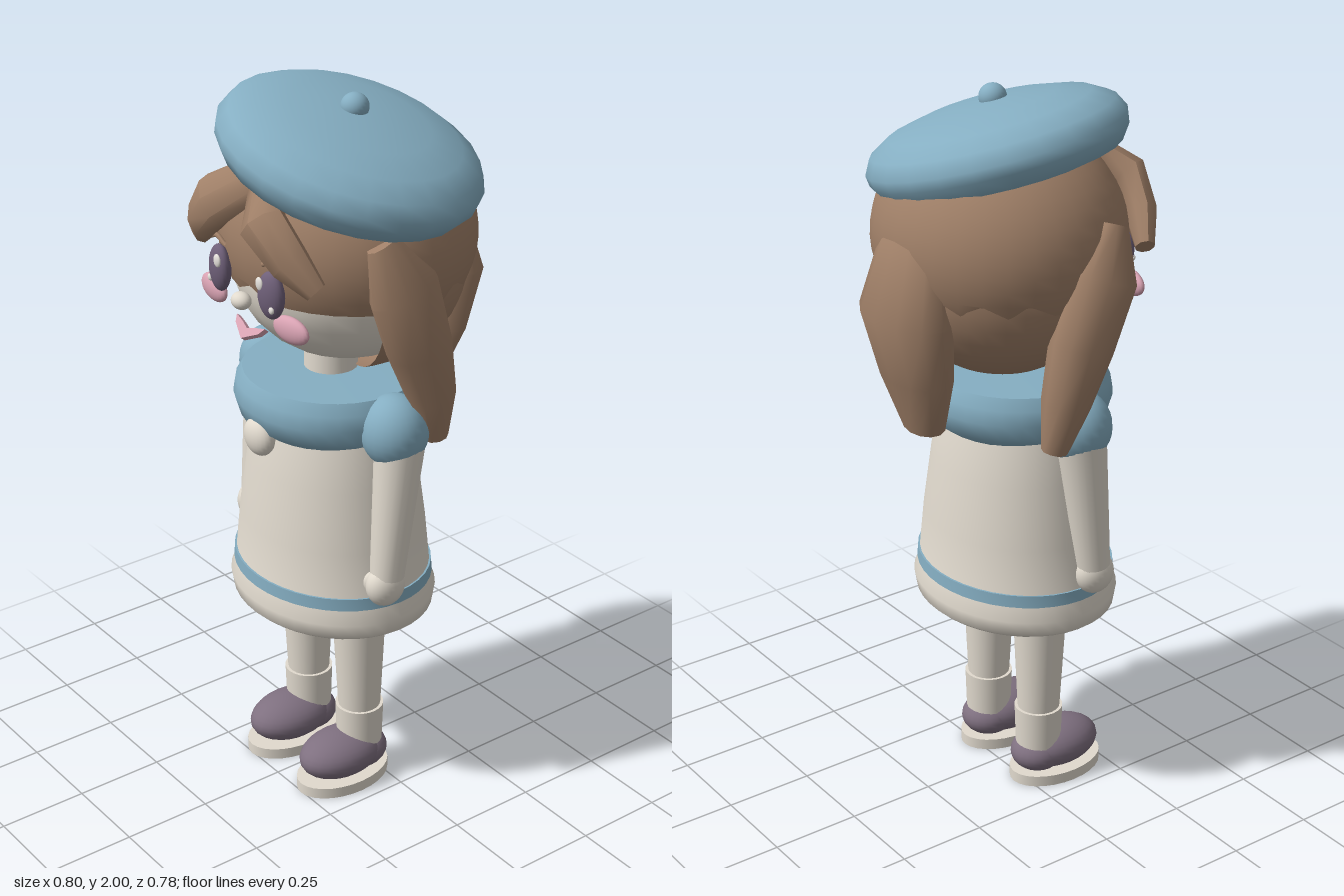
import * as THREE from 'three';
import { toCreasedNormals } from 'three/addons/utils/BufferGeometryUtils.js';

const mat = (name, color, side = THREE.FrontSide) => {
  const m = new THREE.MeshStandardMaterial({ color, side });
  m.name = name;
  return m;
};

export function createModel() {
  const model = new THREE.Group();
  model.name = 'doll';
  const hair = mat('brown hair', 0xa08068, THREE.DoubleSide);
  const blue = mat('soft blue', 0x85aec2);
  const cream = mat('cream', 0xe1dace);
  const plum = mat('plum', 0x7f7080);
  const eyeDark = mat('eye purple', 0x6f6079);
  const pink = mat('pink', 0xd9a3b3);
  const white = mat('highlight white', 0xf0ece6);

  const add = (name, geo, material, pos = [0, 0, 0], scale = [1, 1, 1], rot = [0, 0, 0]) => {
    const m = new THREE.Mesh(geo, material);
    m.name = name;
    m.position.set(...pos);
    m.scale.set(...scale);
    m.rotation.set(...rot);
    model.add(m);
    return m;
  };
  const ball = new THREE.SphereGeometry(1, 24, 16);
  const lathe = (pts, seg) => toCreasedNormals(
    new THREE.LatheGeometry(pts.map(p => new THREE.Vector2(...p)), seg), 0.8);

  // Tapered tube between two points
  const limb = (name, a, b, ra, rb, material) => {
    const A = new THREE.Vector3(...a), B = new THREE.Vector3(...b);
    const d = B.clone().sub(A);
    const m = add(name, new THREE.CylinderGeometry(rb, ra, d.length(), 20), material);
    m.position.copy(A).addScaledVector(d, 0.5);
    m.quaternion.setFromUnitVectors(new THREE.Vector3(0, 1, 0), d.normalize());
  };

  // Hair lock: elliptical rings [x, y, z, half width, half depth] along a path
  const lock = (name, rings, out, sides = 10) => {
    const P = rings.map(r => new THREE.Vector3(r[0], r[1], r[2]));
    const pos = [], idx = [], n = rings.length;
    rings.forEach((r, i) => {
      const T = P[Math.min(i + 1, n - 1)].clone().sub(P[Math.max(i - 1, 0)]).normalize();
      const S = T.clone().cross(new THREE.Vector3(...out)).normalize();
      const O = S.clone().cross(T);
      for (let j = 0; j < sides; j++) {
        const t = j / sides * Math.PI * 2;
        const v = P[i].clone().addScaledVector(S, r[3] * Math.cos(t)).addScaledVector(O, r[4] * Math.sin(t));
        pos.push(v.x, v.y, v.z);
      }
    });
    P.forEach(p => pos.push(p.x, p.y, p.z));
    for (let j = 0; j < sides; j++) {
      const k = (j + 1) % sides;
      for (let i = 0; i < n - 1; i++) {
        const a = i * sides, b = a + sides;
        idx.push(a + j, b + j, a + k, b + j, b + k, a + k);
      }
      const last = (n - 1) * sides;
      idx.push(n * sides, j, k, n * sides + n - 1, last + k, last + j);
    }
    const g = new THREE.BufferGeometry();
    g.setAttribute('position', new THREE.Float32BufferAttribute(pos, 3));
    g.setIndex(idx);
    add(name, toCreasedNormals(g, 0.9), hair);
  };

  // Head, neck
  add('head', ball, cream, [0, 1.53, 0], [0.298, 0.257, 0.303]);
  add('neck', new THREE.CylinderGeometry(0.07, 0.075, 0.16, 24), cream, [0, 1.25, 0.055]);

  // Hair cap with a ragged lower edge at the back and mid forehead
  const capGeo = new THREE.SphereGeometry(1, 32, 16, 0, Math.PI * 2, 0, 1.968);
  const cp = capGeo.attributes.position;
  for (let j = 0; j <= 32; j += 2) {
    const i = 16 * 33 + j;
    if (cp.getZ(i) < -0.3 || Math.abs(cp.getX(i)) < 0.3) cp.setY(i, cp.getY(i) + 0.09);
  }
  add('hairCap', capGeo, hair, [0, 1.62, 0], [0.352, 0.31, 0.33]);

  // Lower back hair
  const wrap = 0.36;
  add('backHair', new THREE.SphereGeometry(1, 24, 10, Math.PI - wrap, Math.PI + 2 * wrap, Math.PI / 2, Math.PI / 2),
    hair, [0, 1.55, 0], [0.328, 0.305, 0.308]);

  // Loose back lock
  lock('backLock', [
    [0, 1.715, -0.25, 0.05, 0.03], [0, 1.64, -0.27, 0.12, 0.065], [0, 1.46, -0.295, 0.165, 0.1],
    [0, 1.29, -0.27, 0.14, 0.075], [0, 1.13, -0.245, 0.075, 0.045]], [0, 0, -1], 12);

  for (const [side, s] of [['left', 1], ['right', -1]]) {
    // Side locks and fringe
    lock(side + 'SideLock', [
      [s * 0.31, 1.7, 0.13, 0.045, 0.03], [s * 0.335, 1.575, 0.08, 0.1, 0.07],
      [s * 0.325, 1.4, 0.02, 0.09, 0.078], [s * 0.322, 1.25, -0.025, 0.065, 0.066],
      [s * 0.31, 1.12, -0.05, 0.036, 0.035]], [s, 0, 0]);
    lock(side + 'Fringe', [
      [s * 0.03, 1.8, 0.275, 0.06, 0.035], [s * 0.105, 1.735, 0.34, 0.074, 0.048],
      [s * 0.19, 1.655, 0.32, 0.06, 0.042], [s * 0.25, 1.59, 0.285, 0.032, 0.026]], [0, 0.3, 1], 8);

    // Face details
    add(side + 'Eye', ball, eyeDark, [s * 0.113, 1.545, 0.324], [0.043, 0.064, 0.025], [0, s * 0.15, 0]);
    add(side + 'EyeShine', ball, white, [s * 0.093, 1.575, 0.346], [0.014, 0.018, 0.006]);
    add(side + 'EyeSpark', ball, white, [s * 0.135, 1.515, 0.34], [0.009, 0.01, 0.006]);
    add(side + 'Cheek', ball, pink, [s * 0.17, 1.465, 0.305], [0.063, 0.036, 0.02], [0, s * 0.12, 0]);
    const brow = new THREE.CatmullRomCurve3([
      new THREE.Vector3(s * 0.085, 1.62, 0.328), new THREE.Vector3(s * 0.115, 1.632, 0.326),
      new THREE.Vector3(s * 0.155, 1.618, 0.314)]);
    add(side + 'Brow', new THREE.TubeGeometry(brow, 8, 0.007, 6), hair);

    // Arm
    add(side + 'Sleeve', ball, blue, [s * 0.273, 1.15, 0.055], [0.092, 0.1, 0.09]);
    limb(side + 'Arm', [s * 0.292, 1.14, 0.05], [s * 0.298, 0.74, 0.095], 0.068, 0.046, cream);
    add(side + 'Hand', ball, cream, [s * 0.298, 0.715, 0.1], [0.045, 0.06, 0.057]);
    add(side + 'Thumb', ball, cream, [s * 0.27, 0.72, 0.125], [0.022, 0.032, 0.024]);

    // Leg, sock, shoe
    limb(side + 'Leg', [s * 0.12, 0.2, 0.05], [s * 0.12, 0.6, 0.052], 0.058, 0.078, cream);
    add(side + 'Sock', new THREE.CylinderGeometry(0.068, 0.064, 0.12, 24), cream, [s * 0.12, 0.17, 0.05]);
    add(side + 'Shoe', ball, plum, [s * 0.12, 0.088, 0.115], [0.09, 0.066, 0.13]);
    add(side + 'ShoeHeel', ball, plum, [s * 0.12, 0.08, 0.05], [0.076, 0.057, 0.08]);
    add(side + 'Sole', new THREE.CylinderGeometry(1, 1, 0.032, 28), cream, [s * 0.12, 0.018, 0.11], [0.094, 1, 0.145]);
  }

  // Nose and chevron mouth, tipped forward at the bottom
  add('nose', ball, cream, [0, 1.495, 0.338], [0.03, 0.023, 0.025]);
  const mouth = new THREE.Shape();
  [[-0.062, 0.022], [-0.025, 0.012], [0, 0.002], [0.025, 0.012], [0.062, 0.022], [0.05, 0.002], [0, -0.028], [-0.05, 0.002]]
    .forEach(([x, y], i) => i ? mouth.lineTo(x, y) : mouth.moveTo(x, y));
  add('mouth', new THREE.ExtrudeGeometry(mouth, { depth: 0.016, bevelEnabled: false }), pink,
    [0, 1.403, 0.312], [1, 1, 1], [-0.7, 0, 0]);

  // Dress with hem and stripe
  add('dress', lathe([[0, 0.55], [0.29, 0.548], [0.305, 0.56], [0.312, 0.6], [0.297, 0.64],
    [0.28, 0.8], [0.255, 0.97], [0.235, 1.09], [0.2, 1.2], [0, 1.2]], 40), cream, [0, 0, 0.053], [1, 1, 0.85]);
  add('hemStripe', lathe([[0.293, 0.642], [0.301, 0.642], [0.298, 0.676], [0.288, 0.676]], 40), blue,
    [0, 0, 0.053], [1, 1, 0.855]);

  // Collar and its round clasp
  add('collar', lathe([[0, 1.085], [0.215, 1.085], [0.255, 1.115], [0.27, 1.165], [0.263, 1.205],
    [0.245, 1.236], [0, 1.242]], 32), blue, [0, 0, 0.053], [1, 1, 0.96]);
  add('clasp', ball, cream, [0, 1.095, 0.29], [0.054, 0.054, 0.034]);

  // Tilted beret and its knob
  add('beret', lathe([[0, -0.075], [0.27, -0.085], [0.328, -0.07], [0.356, -0.03], [0.36, 0],
    [0.338, 0.04], [0.28, 0.073], [0.19, 0.095], [0.09, 0.107], [0, 0.11]], 24), blue,
  [0.052, 1.847, 0.028], [1, 1, 0.965], [-0.14, 0, -0.25]);
  add('beretKnob', ball, blue, [0.062, 1.962, 0.024], [0.037, 0.036, 0.037]);

  return model;
}
